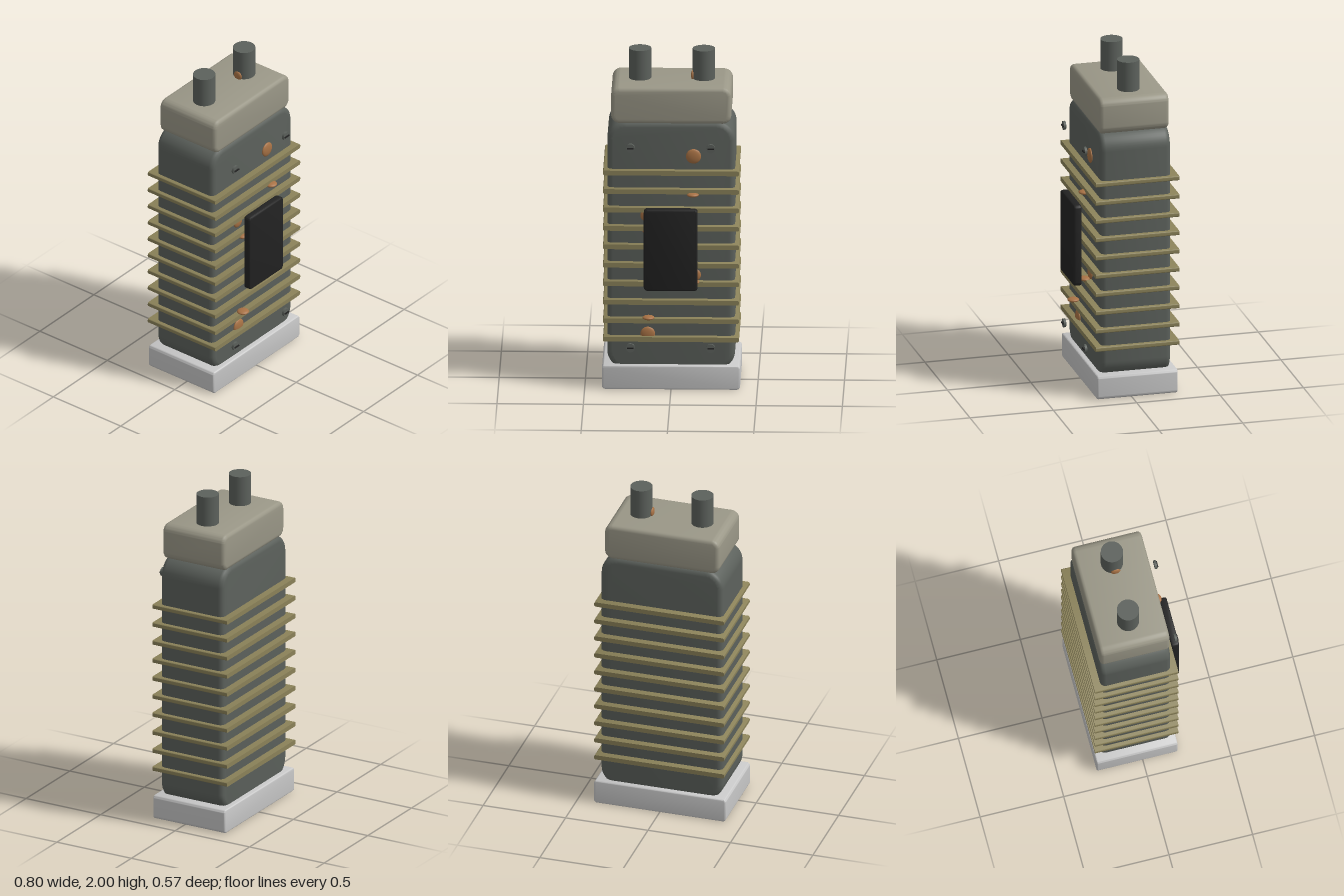
import * as THREE from 'three';
import { toCreasedNormals } from 'three/addons/utils/BufferGeometryUtils.js';

const mat = (name, color) => {
  const m = new THREE.MeshStandardMaterial({ color });
  m.name = name;
  return m;
};

// Block spanning the given limits, rounded in the front profile, bevelled front and back
function slab(x, y0, y1, z0, z1, corner, bevel) {
  const w = x - bevel, b = y0 + bevel, t = y1 - bevel;
  const r = Math.max(corner - bevel, 0.002);
  const s = new THREE.Shape();
  s.moveTo(-w + r, b);
  s.lineTo(w - r, b);
  s.absarc(w - r, b + r, r, -Math.PI / 2, 0);
  s.lineTo(w, t - r);
  s.absarc(w - r, t - r, r, 0, Math.PI / 2);
  s.lineTo(-w + r, t);
  s.absarc(-w + r, t - r, r, Math.PI / 2, Math.PI);
  s.lineTo(-w, b + r);
  s.absarc(-w + r, b + r, r, Math.PI, Math.PI * 1.5);
  const g = new THREE.ExtrudeGeometry(s, {
    depth: z1 - z0 - 2 * bevel, curveSegments: 6,
    bevelEnabled: bevel > 0, bevelSize: bevel, bevelThickness: bevel, bevelSegments: 3,
  });
  g.translate(0, 0, z0 + bevel);
  return toCreasedNormals(g, 0.65);
}

export function createModel() {
  const model = new THREE.Group();
  model.name = 'finnedCanister';
  const steel = mat('dark grey steel', 0x5c615c);
  const stone = mat('warm grey', 0x9a9787);
  const brass = mat('dull brass', 0x8b8259);
  const pale = mat('pale grey', 0xc8c8c8);
  const black = mat('black', 0x222222);
  const copper = mat('copper', 0xa87245);

  const add = (name, geometry, material, x = 0, y = 0, z = 0, parent = model) => {
    const m = new THREE.Mesh(geometry, material);
    m.name = name;
    m.position.set(x, y, z);
    parent.add(m);
    return m;
  };

  // Stacked main blocks
  add('base', slab(0.4, 0, 0.145, -0.275, 0.208, 0.02, 0.008), pale);
  add('body', slab(0.37, 0.11, 1.615, -0.242, 0.177, 0.11, 0.03), steel);
  add('cap', slab(0.348, 1.602, 1.82, -0.238, 0.177, 0.05, 0.022), stone);

  // Terminals on the cap
  for (const side of [-1, 1]) {
    add(side > 0 ? 'leftTerminal' : 'rightTerminal',
      new THREE.CylinderGeometry(0.065, 0.065, 0.2, 32), steel, side * 0.185, 1.9, -0.034);
  }

  // Cooling fins
  const fin = slab(0.394, -0.014, 0.014, -0.285, 0.215, 0.01, 0);
  for (let i = 0; i < 10; i++) add('coolingFin', fin, brass, 0, 0.306 + i * 0.1122, 0);

  // Front plate
  add('frontPlate', slab(0.156, 0.62, 1.115, 0.235, 0.282, 0.022, 0.01), black);

  // Slotted screws
  const head = new THREE.CylinderGeometry(0.026, 0.026, 0.014, 20).rotateX(Math.PI / 2);
  const slot = new THREE.BoxGeometry(0.038, 0.007, 0.009);
  for (const x of [-0.234, 0.231]) {
    for (const y of [0.262, 1.475]) {
      const screw = new THREE.Group();
      screw.name = 'screw';
      screw.position.set(x, y, 0.237);
      model.add(screw);
      add('screwHead', head, steel, 0, 0, 0, screw);
      add('screwSlot', slot, black, 0, 0, 0.0095, screw);
    }
  }

  // Corrosion spots: position, then half sizes
  const spot = new THREE.SphereGeometry(1, 20, 14);
  const spots = [
    [0.13, 1.41, 0.18, 0.044, 0.044, 0.013],
    [-0.14, 1.05, 0.18, 0.038, 0.038, 0.013],
    [0.135, 0.69, 0.18, 0.038, 0.038, 0.013],
    [-0.135, 0.33, 0.18, 0.043, 0.043, 0.013],
    [0.127, 1.187, 0.212, 0.035, 0.013, 0.035],
    [-0.13, 0.962, 0.212, 0.035, 0.013, 0.03],
    [0.13, 0.657, 0.212, 0.035, 0.013, 0.035],
    [-0.13, 0.438, 0.21, 0.035, 0.013, 0.035],
    [0.12, 1.838, -0.028, 0.01, 0.028, 0.028],
  ];
  for (const [x, y, z, sx, sy, sz] of spots) {
    add('corrosionSpot', spot, copper, x, y, z).scale.set(sx, sy, sz);
  }
  return model;
}
